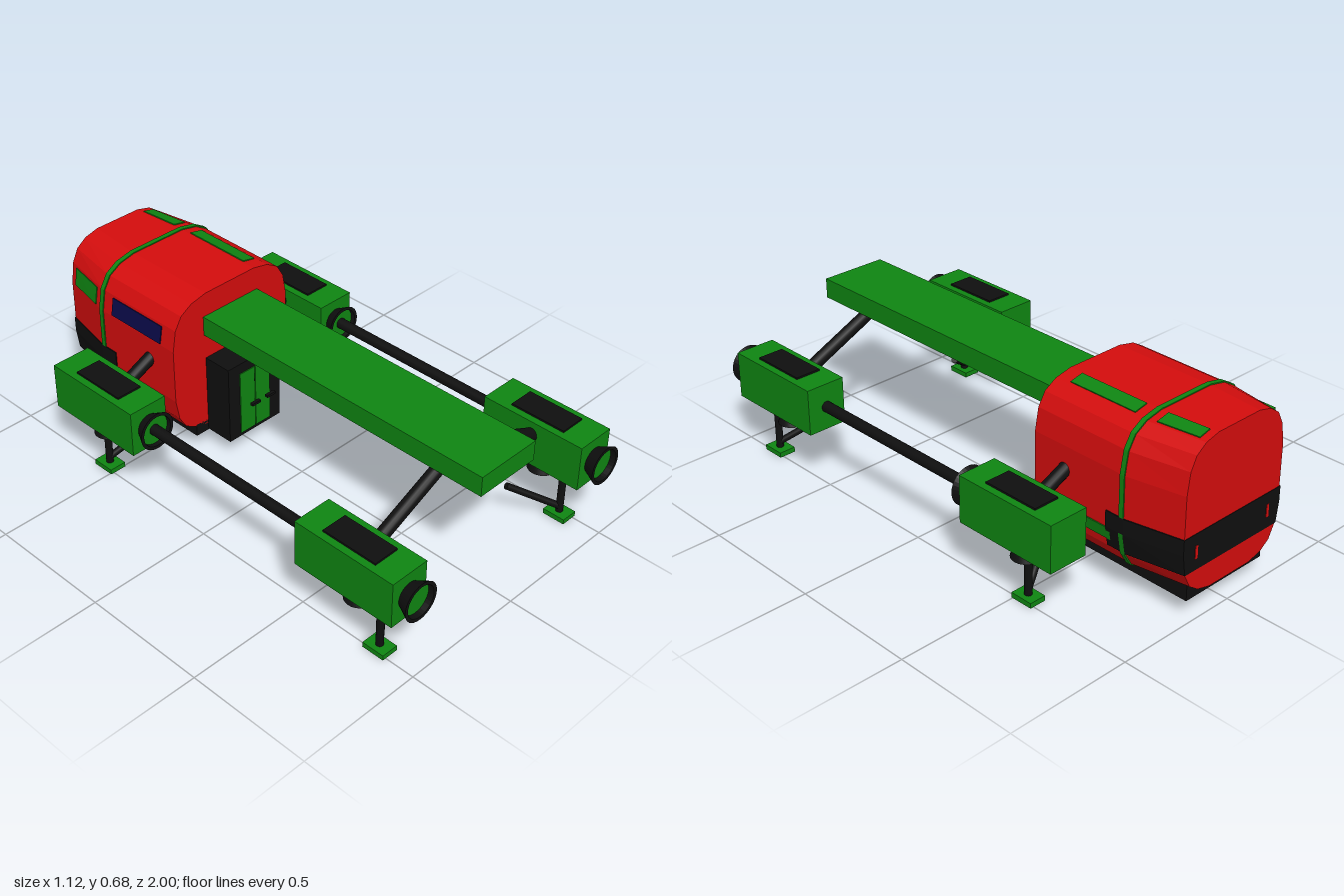
import * as THREE from 'three';

const mat = (color, extra = {}) => new THREE.MeshStandardMaterial({ color, ...extra });
const RED = mat(0xd40d0d, { flatShading: true, side: THREE.DoubleSide });
const GREEN = mat(0x0f8512);
const BLACK = mat(0x0f0f0f);
const NAVY = mat(0x0a0a48);
const UP = new THREE.Vector3(0, 1, 0);

function add(parent, name, geometry, material, x = 0, y = 0, z = 0) {
  const m = new THREE.Mesh(geometry, material);
  m.name = name;
  m.position.set(x, y, z);
  parent.add(m);
  return m;
}

// Box given by its minimum and maximum on each axis
function box(parent, name, material, [x0, x1], [y0, y1], [z0, z1]) {
  return add(parent, name, new THREE.BoxGeometry(x1 - x0, y1 - y0, z1 - z0), material,
    (x0 + x1) / 2, (y0 + y1) / 2, (z0 + z1) / 2);
}

// Round bar between two points
function bar(parent, name, a, b, r) {
  const p = new THREE.Vector3(...a), q = new THREE.Vector3(...b);
  const m = add(parent, name, new THREE.CylinderGeometry(r, r, p.distanceTo(q), 16), BLACK);
  m.position.copy(p).add(q).multiplyScalar(0.5);
  m.quaternion.setFromUnitVectors(UP, q.sub(p).normalize());
  return m;
}

// Cabin width narrows towards the rear
const taper = z => (z > -0.78 ? 1 : 1 - 0.16 * (-0.78 - z) / 0.22);

// Closed loft of a convex counter-clockwise outline along falling z
function loft(outline, zs) {
  const n = outline.length, pos = [], idx = [];
  for (const z of zs) for (const [x, y] of outline) pos.push(x * taper(z), y, z);
  for (let s = 0; s < zs.length - 1; s++) {
    for (let i = 0; i < n; i++) {
      const a = s * n + i, b = s * n + (i + 1) % n;
      idx.push(a, a + n, b, b, a + n, b + n);
    }
  }
  const last = (zs.length - 1) * n;
  for (let i = 1; i < n - 1; i++) {
    idx.push(0, i, i + 1, last, last + i + 1, last + i);
  }
  const indexed = new THREE.BufferGeometry();
  indexed.setAttribute('position', new THREE.Float32BufferAttribute(pos, 3));
  indexed.setIndex(idx);
  const g = indexed.toNonIndexed();
  g.computeVertexNormals();
  return g;
}

const mirrored = half => [...half, ...half.map(([x, y]) => [-x, y]).reverse()];

// Thin panel lying on one facet of the cabin, from p to q
function patch(parent, name, material, p, q, z0, z1) {
  const dx = q[0] - p[0], dy = q[1] - p[1], k = 0.004 / Math.hypot(dx, dy);
  const nx = dy * k, ny = -dx * k;
  add(parent, name, loft([
    [p[0] - nx, p[1] - ny], [p[0] + nx, p[1] + ny],
    [q[0] + nx, q[1] + ny], [q[0] - nx, q[1] - ny],
  ], [z0, z1]), material);
}

function createCabin() {
  const g = new THREE.Group();
  g.name = 'cabin';
  const hull = mirrored([
    [0.12, 0.10], [0.19, 0.115], [0.24, 0.145], [0.27, 0.195], [0.285, 0.28],
    [0.285, 0.50], [0.27, 0.585], [0.24, 0.635], [0.19, 0.665], [0.12, 0.68],
  ]);
  add(g, 'cabinHull', loft(hull, [-0.37, -0.78, -1]), RED);

  // Thin hoop where the taper begins
  const hoop = hull.map(([x, y]) => [x * 1.014, 0.39 + (y - 0.39) * 1.014]);
  add(g, 'cabinHoop', loft(hoop, [-0.76, -0.78]), GREEN);

  // Dark band round the rear, with two small lamps
  add(g, 'rearBand', loft(mirrored([[0.275, 0.2], [0.289, 0.28], [0.289, 0.34]]),
    [-0.70, -0.78, -1]), BLACK).position.z = -0.002;
  for (const x of [-0.18, 0.18]) {
    box(g, 'rearLamp', RED, [x - 0.006, x + 0.006], [0.245, 0.295], [-1.004, -0.99]);
  }

  // Roof panels, side windows and lower panel
  patch(g, 'roofPanel', GREEN, [0.18, 0.667], [0.125, 0.679], -0.43, -0.72);
  patch(g, 'rearRoofPanel', GREEN, [0.18, 0.667], [0.125, 0.679], -0.81, -0.97);
  patch(g, 'sideWindow', NAVY, [-0.272, 0.575], [-0.284, 0.505], -0.44, -0.71);
  patch(g, 'rearSidePanel', GREEN, [-0.272, 0.575], [-0.284, 0.505], -0.81, -0.97);
  patch(g, 'lowerSidePanel', GREEN, [0.276, 0.228], [0.284, 0.275], -0.43, -0.72);

  // Floor slab
  box(g, 'floorSlab', BLACK, [-0.19, 0.19], [0.072, 0.135], [-0.98, -0.37]);

  // Entrance with double doors
  box(g, 'doorFrame', BLACK, [-0.13, 0.13], [0.075, 0.402], [-0.40, -0.25]);
  for (const s of [-1, 1]) {
    box(g, 'door', GREEN, [s * 0.0385 - 0.0365, s * 0.0385 + 0.0365], [0.09, 0.36], [-0.26, -0.246]);
    box(g, 'doorHandle', BLACK, [s * 0.038 - 0.021, s * 0.038 + 0.021], [0.23, 0.24], [-0.212, -0.198]);
  }
  return g;
}

// Pod with intake, leg and arm on the +x side; zc is the pod's middle
function createPod(zc, legZ, coneZ, strutZ) {
  const g = new THREE.Group();
  g.name = 'pod';
  const x = 0.48, front = zc + 0.215;
  box(g, 'podBody', GREEN, [0.4, 0.56], [0.225, 0.408], [zc - 0.215, front]);
  box(g, 'podTopPanel', BLACK, [0.428, 0.532], [0.40, 0.415], [zc - 0.115, zc + 0.115]);

  // Flared intake with a recessed disc
  const rim = [[0.05, 0], [0.075, 0.05], [0.062, 0.05], [0.06, 0.02]].map(p => new THREE.Vector2(...p));
  const depth = front > 0 ? 1 : 0.9;
  const intake = add(g, 'intakeRim', new THREE.LatheGeometry(rim, 32),
    mat(0x0f0f0f, { side: THREE.DoubleSide, flatShading: true }), x, 0.317, front);
  intake.rotation.x = Math.PI / 2;
  intake.scale.y = depth;
  const disc = add(g, 'intakeDisc', new THREE.CylinderGeometry(0.061, 0.061, 0.006, 32), GREEN, x, 0.317, front + 0.025);
  disc.rotation.x = Math.PI / 2;

  // Nozzle below, landing leg, strut and foot
  add(g, 'nozzle', new THREE.CylinderGeometry(0.03, 0.055, 0.06, 24), BLACK, x, 0.198, coneZ);
  bar(g, 'legPost', [x, 0.015, legZ], [x, 0.23, legZ], 0.014);
  bar(g, 'legStrut', [x, 0.04, legZ], [0.315, 0.157, strutZ], 0.013);
  box(g, 'foot', GREEN, [0.446, 0.514], [0, 0.02], [legZ - 0.046, legZ + 0.046]);

  // Arm to the spine
  bar(g, 'arm', [0, 0.54, zc], [0.45, 0.332, zc], 0.025);
  return g;
}

export function createModel() {
  const model = new THREE.Group();
  model.name = 'transportCraft';
  model.add(createCabin());

  // Spine beam
  box(model, 'spineBeam', GREEN, [-0.135, 0.135], [0.505, 0.584], [-0.38, 0.94]);

  // One side holds two pods and a connecting rod; the other is its mirror
  for (const s of [1, -1]) {
    const side = new THREE.Group();
    side.name = s > 0 ? 'leftSide' : 'rightSide';
    side.add(createPod(0.735, 0.835, 0.74, 0.71));
    side.add(createPod(-0.508, -0.54, -0.53, -0.46));
    bar(side, 'connectingRod', [0.48, 0.317, -0.3], [0.48, 0.317, 0.53], 0.021);
    side.scale.x = s;
    model.add(side);
  }
  return model;
}
